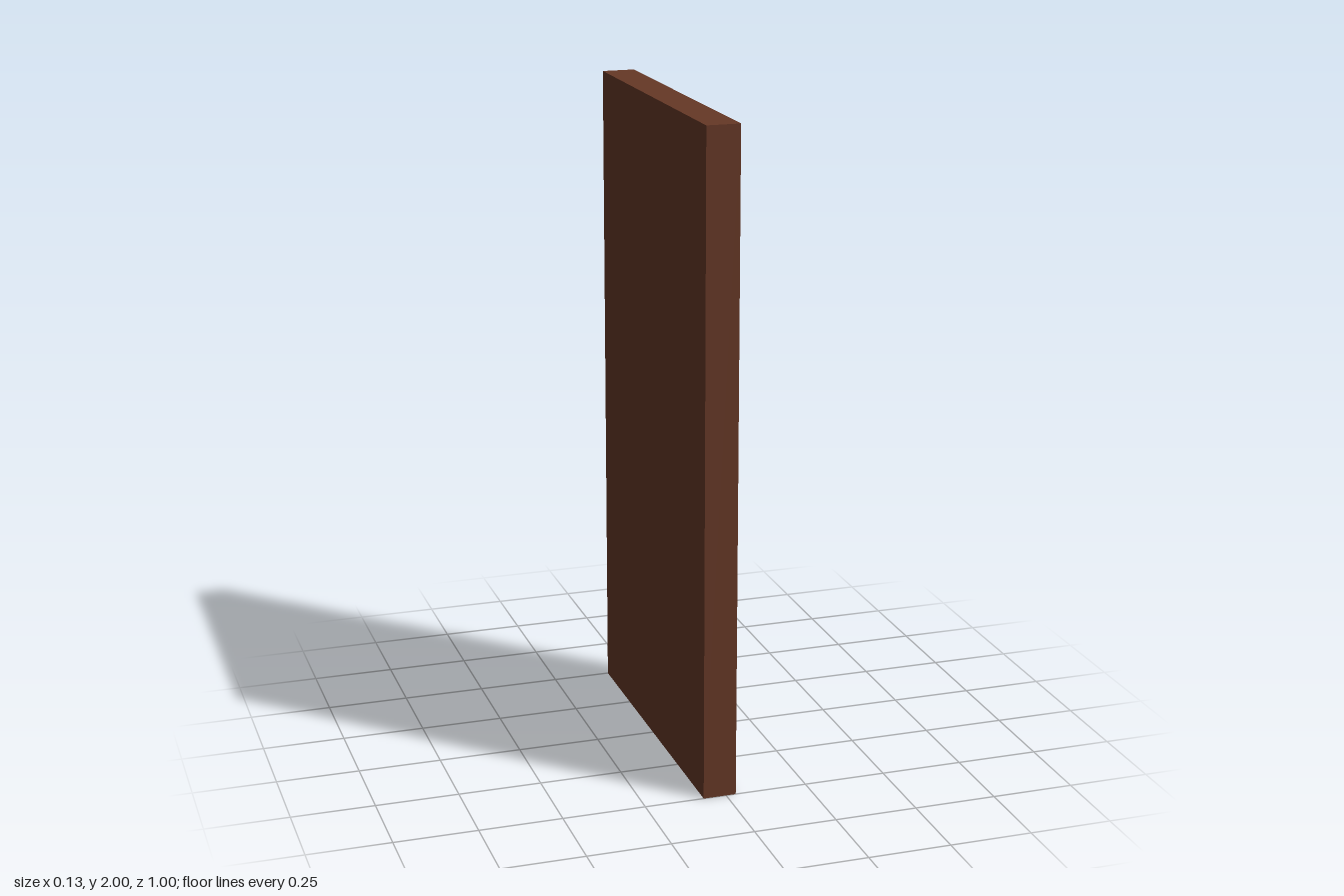
import * as THREE from 'three';

const BACK = -0.07, FRONT = 0.03, DEPTH = 0.035;

// Corners of a rectangle [u0, u1, v0, v1], counter-clockwise
const corners = ([u0, u1, v0, v1]) => [[u0, v0], [u1, v0], [u1, v1], [u0, v1]];

// Four sloping sides and a flat floor, sunk below the plane w = 0
function recessGeometry(outer, inner) {
  const o = corners(outer).map(([u, v]) => [u, v, 0]);
  const n = corners(inner).map(([u, v]) => [u, v, -DEPTH]);
  const pos = [];
  const quad = (a, b, c, d) => pos.push(...a, ...b, ...c, ...a, ...c, ...d);
  for (let i = 0; i < 4; i++) {
    const j = (i + 1) % 4;
    quad(o[i], o[j], n[j], n[i]);
  }
  quad(...n);
  const g = new THREE.BufferGeometry();
  g.setAttribute('position', new THREE.Float32BufferAttribute(pos, 3));
  g.computeVertexNormals();
  return g;
}

export function createModel() {
  const wood = new THREE.MeshStandardMaterial({ color: 0x663826 });
  wood.name = 'brown wood';
  const black = new THREE.MeshStandardMaterial({ color: 0x0a0a0a });
  black.name = 'black metal';

  const door = new THREE.Group();
  door.name = 'door';
  const add = (name, geometry, material, parent = door) => {
    const mesh = new THREE.Mesh(geometry, material);
    mesh.name = name;
    parent.add(mesh);
    return mesh;
  };

  // Slab: a box without its panelled (+x) face
  const slab = new THREE.BoxGeometry(FRONT - BACK, 2, 1);
  slab.setIndex(Array.from(slab.index.array).slice(6));
  slab.clearGroups();
  add('slab', slab, wood).position.set((FRONT + BACK) / 2, 1, 0);

  // Panelled face, drawn flat and turned towards +x
  const face = new THREE.Group();
  face.name = 'panelledFace';
  face.rotation.y = Math.PI / 2;
  face.position.x = FRONT;
  door.add(face);

  const sheet = new THREE.Shape(corners([-0.5, 0.5, 0, 2]).map(p => new THREE.Vector2(...p)));
  const columns = [
    { name: 'left', outer: [-0.395, -0.055], inner: [-0.357, -0.09] },
    { name: 'right', outer: [0.047, 0.39], inner: [0.087, 0.357] },
  ];
  const rows = [
    { name: 'Lower', outer: [0.22, 0.81], inner: [0.255, 0.78] },
    { name: 'Middle', outer: [0.985, 1.58], inner: [1.02, 1.538] },
    { name: 'Upper', outer: [1.675, 1.905], inner: [1.705, 1.855] },
  ];
  for (const c of columns) {
    for (const r of rows) {
      const outer = [...c.outer, ...r.outer];
      sheet.holes.push(new THREE.Path(corners(outer).reverse().map(p => new THREE.Vector2(...p))));
      add(c.name + r.name + 'Panel', recessGeometry(outer, [...c.inner, ...r.inner]), wood, face);
    }
  }
  add('frame', new THREE.ShapeGeometry(sheet), wood, face);

  // Knob: a short tapered oval
  const knobGeometry = new THREE.CylinderGeometry(0.034, 0.043, 0.035, 12);
  knobGeometry.rotateZ(-Math.PI / 2);
  knobGeometry.scale(1, 0.83, 1);
  const knob = add('knob', knobGeometry, black);
  knob.position.set(FRONT + 0.0175, 0.877, -0.447);

  return door;
}
